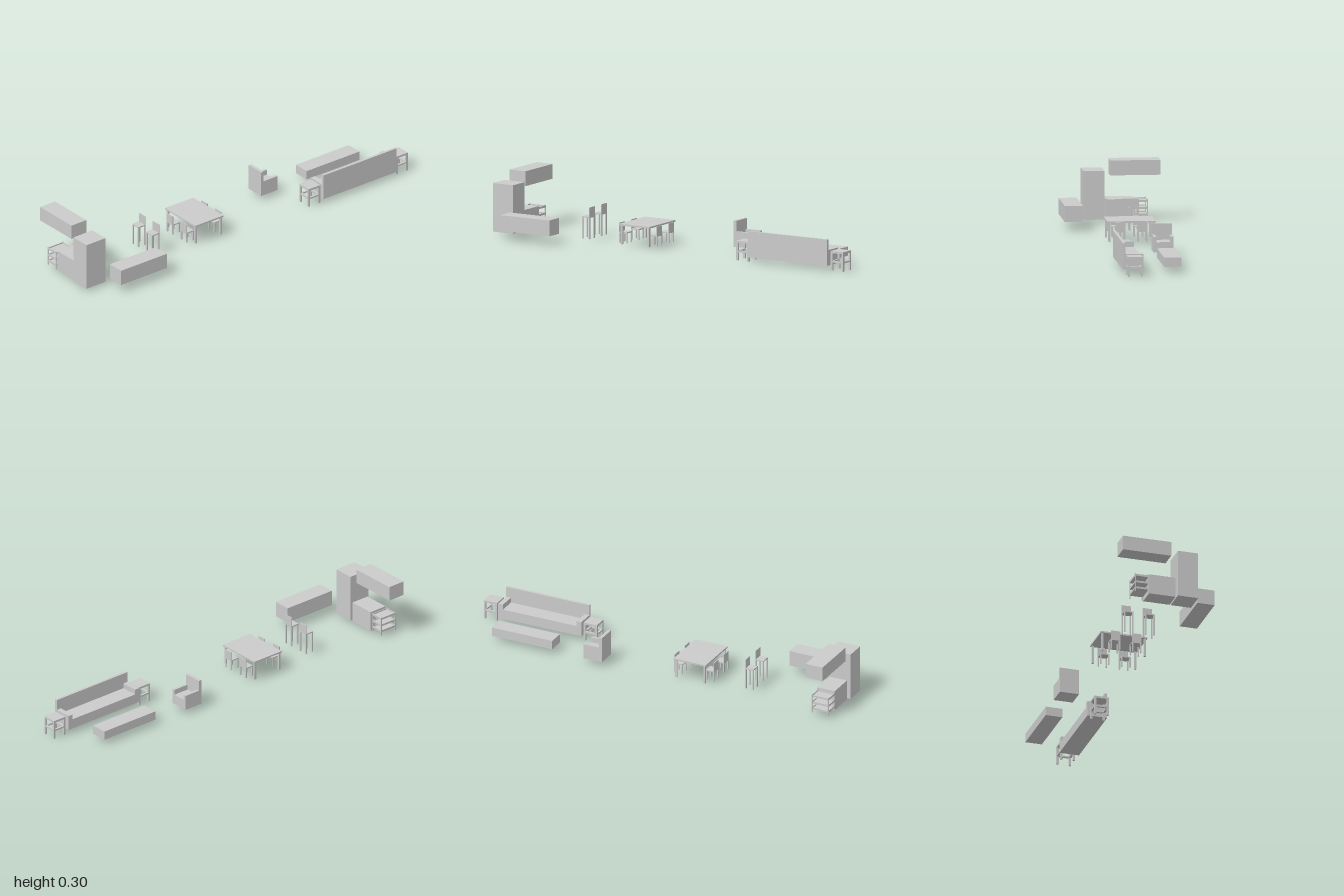
import * as THREE from 'three';

const material = new THREE.MeshStandardMaterial({ color: 0xcccccc, flatShading: true });

// Box given by its limits on each axis
function box(parent, name, x0, x1, y0, y1, z0, z1) {
  const mesh = new THREE.Mesh(new THREE.BoxGeometry(x1 - x0, y1 - y0, z1 - z0), material);
  mesh.position.set((x0 + x1) / 2, (y0 + y1) / 2, (z0 + z1) / 2);
  mesh.name = name;
  parent.add(mesh);
}

function group(parent, name, x = 0, y = 0, z = 0, turn = 0) {
  const g = new THREE.Group();
  g.name = name;
  g.position.set(x, y, z);
  g.rotation.y = turn;
  parent.add(g);
  return g;
}

// Four legs at the corners of a centred rectangle
function legs(parent, name, w, d, y0, y1, t) {
  for (const sx of [-1, 1]) for (const sz of [-1, 1]) {
    const x = sx * (w - t) / 2, z = sz * (d - t) / 2;
    box(parent, name, x - t / 2, x + t / 2, y0, y1, z - t / 2, z + t / 2);
  }
}

// Four rails between the legs
function rails(parent, name, w, d, y0, y1, t) {
  for (const s of [-1, 1]) {
    const x = s * (w - t) / 2, z = s * (d - t) / 2;
    box(parent, name, -w / 2 + t, w / 2 - t, y0, y1, z - t / 2, z + t / 2);
    box(parent, name, x - t / 2, x + t / 2, y0, y1, -d / 2 + t, d / 2 - t);
  }
}

// Chair with its back on -z
function chair(parent, name, x, z, seat, top, turn) {
  const g = group(parent, name, x, 0.012, z, turn), w = 0.047, d = 0.045;
  legs(g, 'chairLeg', w, d, 0, seat - 0.005, 0.006);
  box(g, 'chairSeat', -w / 2, w / 2, seat - 0.006, seat, -d / 2, d / 2);
  box(g, 'chairBack', -w / 2, w / 2, seat, top, -d / 2, -d / 2 + 0.004);
}

// Upholstered seat with its back on -z
function couch(parent, name, x, z, w, d, arm, back, turn) {
  const g = group(parent, name, x, 0.024, z, turn);
  box(g, 'backrest', -w / 2, w / 2, 0, 0.129, -d / 2, -d / 2 + back);
  box(g, 'seat', -w / 2 + arm, w / 2 - arm, 0, 0.05, -d / 2 + back, d / 2);
  for (const s of [-1, 1]) {
    const cx = s * (w - arm) / 2;
    box(g, 'armrest', cx - arm / 2, cx + arm / 2, 0, 0.076, -d / 2 + back, d / 2);
  }
}

function sideTable(parent, z) {
  const g = group(parent, 'sideTable', 0.077, 0, z), w = 0.073, d = 0.072;
  box(g, 'sideTableTop', -w / 2, w / 2, 0.086, 0.096, -d / 2, d / 2);
  legs(g, 'sideTableLeg', w, d, 0, 0.086, 0.01);
  rails(g, 'sideTableStretcher', w, d, 0.04, 0.048, 0.01);
}

export function createModel() {
  const model = new THREE.Group();
  model.name = 'homeFurniture';

  // Kitchen
  const kitchen = group(model, 'kitchen');
  box(kitchen, 'tallCabinet', 0.025, 0.128, 0.013, 0.252, 0.883, 1.0);
  box(kitchen, 'baseCabinet', -0.117, 0.017, 0.011, 0.113, 0.889, 0.985);
  box(kitchen, 'wallCabinet', -0.25, -0.005, 0.227, 0.3, 0.895, 0.987);
  box(kitchen, 'sideCabinet', 0.161, 0.249, 0.045, 0.123, 0.599, 0.882);

  // Shelf cart beside the base cabinet
  const cart = group(model, 'shelfCart', -0.155, 0, 0.942);
  legs(cart, 'cartPost', 0.068, 0.094, 0.011, 0.108, 0.005);
  for (const y of [0.028, 0.06, 0.095]) {
    box(cart, 'cartShelf', -0.032, 0.032, y, y + 0.004, -0.045, 0.045);
    rails(cart, 'cartShelfRim', 0.066, 0.092, y, y + 0.01, 0.003);
  }

  // Bar chairs face the kitchen, dining chairs face the table
  for (const x of [-0.077, 0.031]) {
    chair(model, 'barChair', x, 0.513, 0.11, 0.156, 0);
    chair(model, 'diningChair', x, 0.128, 0.054, 0.098, 0);
    chair(model, 'diningChair', x, 0.3, 0.054, 0.098, Math.PI);
  }

  // Dining table
  const table = group(model, 'diningTable', -0.026, 0, 0.211);
  box(table, 'tableTop', -0.118, 0.118, 0.104, 0.112, -0.087, 0.087);
  legs(table, 'tableLeg', 0.226, 0.164, 0.011, 0.104, 0.01);

  // Lounge
  couch(model, 'armchair', -0.131, -0.298, 0.097, 0.101, 0.014, 0.016, Math.PI);
  couch(model, 'sofa', 0.08, -0.691, 0.452, 0.1, 0.026, 0.013, -Math.PI / 2);
  box(model, 'coffeeTable', -0.163, -0.079, 0.025, 0.07, -0.853, -0.526);
  sideTable(model, -0.964);
  sideTable(model, -0.422);

  return model;
}
